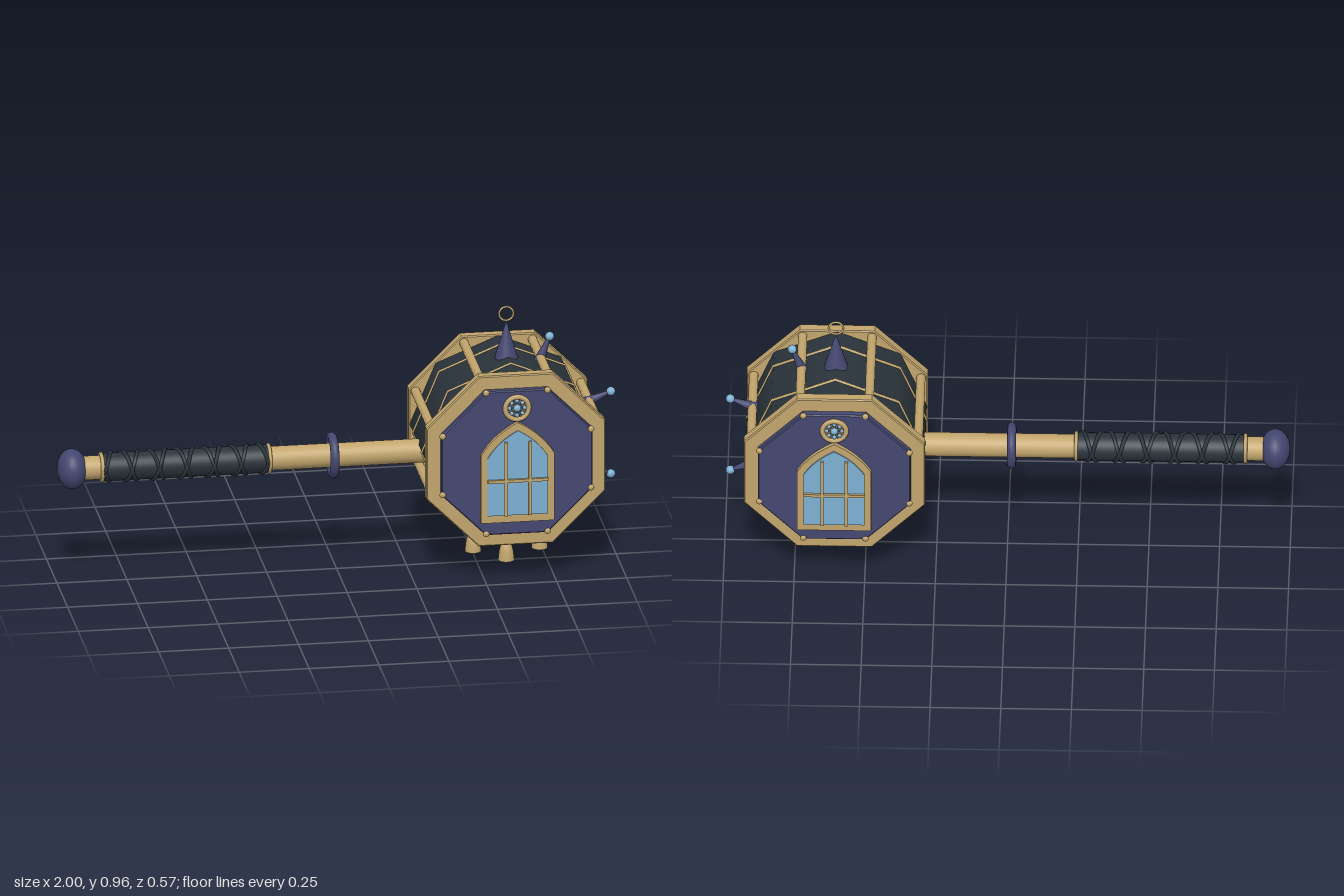
import * as THREE from 'three';

const material = (name, color) => {
  const m = new THREE.MeshStandardMaterial({ color, side: THREE.DoubleSide });
  m.name = name;
  return m;
};

export function createModel() {
  const gold = material('gold', 0xc2a56d);
  const navy = material('navy', 0x444770);
  const dark = material('charcoal', 0x2a343b);
  const blue = material('paleBlue', 0x7db0d3);

  const root = new THREE.Group();
  const add = (parent, name, geometry, mat, x = 0, y = 0, z = 0) => {
    const mesh = new THREE.Mesh(geometry, mat);
    mesh.name = name;
    mesh.position.set(x, y, z);
    parent.add(mesh);
    return mesh;
  };
  const group = (parent, name, x = 0, y = 0, z = 0) => {
    const g = new THREE.Group();
    g.name = name;
    g.position.set(x, y, z);
    parent.add(g);
    return g;
  };
  const extrude = (shape, depth, bevel = 0) => new THREE.ExtrudeGeometry(shape, {
    depth: depth - 2 * bevel, bevelEnabled: bevel > 0, bevelThickness: bevel,
    bevelSize: bevel, bevelOffset: -bevel, bevelSegments: 1, curveSegments: 8,
  }).translate(0, 0, bevel);
  const cyl = (r0, r1, h, n = 20) => new THREE.CylinderGeometry(r0, r1, h, n);
  const cornerAngle = (i) => Math.PI / 8 + i * Math.PI / 4;

  // Octagon with flat top and sides, sized by its half width
  const octagon = (half) => new THREE.Shape(Array.from({ length: 8 }, (_, i) => {
    const r = half / Math.cos(Math.PI / 8), a = cornerAngle(i);
    return new THREE.Vector2(r * Math.cos(a), r * Math.sin(a));
  }));

  // Pointed arch outline, centred on x
  const arch = (w, y0, shoulder, top, Type = THREE.Shape) => {
    const s = new Type();
    const cy = shoulder + (top - shoulder) * 0.62;
    s.moveTo(-w, y0);
    s.lineTo(w, y0);
    s.lineTo(w, shoulder);
    s.quadraticCurveTo(w * 0.66, cy, 0, top);
    s.quadraticCurveTo(-w * 0.66, cy, -w, shoulder);
    s.closePath();
    return s;
  };

  // ---- Handle, running along x ----
  const handle = group(root, 'handle', 0, 0.428, 0);
  add(handle, 'shaft', cyl(0.043, 0.043, 1.25, 28).rotateZ(Math.PI / 2), gold, -0.305);
  add(handle, 'pommel', new THREE.SphereGeometry(1, 28, 18), navy, -0.947).scale.set(0.053, 0.072, 0.072);
  add(handle, 'grip', cyl(0.05, 0.05, 0.6, 28).rotateZ(Math.PI / 2), dark, -0.5425);
  for (const x of [-0.842, -0.243]) {
    add(handle, 'gripCollar', new THREE.TorusGeometry(0.048, 0.007, 8, 28).rotateY(Math.PI / 2), gold, x);
  }
  add(handle, 'guardRing', new THREE.TorusGeometry(0.067, 0.016, 12, 36).rotateY(Math.PI / 2), navy, -0.015);

  // Two cords crossing over the grip
  const turns = 6;
  for (const dir of [1, -1]) {
    const points = Array.from({ length: turns * 12 + 1 }, (_, i) => {
      const t = i / 12 * Math.PI * 2;
      return new THREE.Vector3(-0.835 + 0.585 * i / (turns * 12), dir * 0.051 * Math.sin(t), 0.051 * Math.cos(t));
    });
    add(handle, 'gripCord', new THREE.TubeGeometry(new THREE.CatmullRomCurve3(points), 240, 0.007, 6), dark);
  }

  // ---- Head ----
  const head = group(root, 'head', 0.607, 0.459, 0);
  add(head, 'drum', cyl(0.317, 0.317, 0.42, 8).rotateX(Math.PI / 2), dark);
  for (const z of [-0.103, 0.103]) {
    add(head, 'drumBand', new THREE.TorusGeometry(0.315, 0.0075, 8, 8), gold, 0, 0, z);
  }
  for (let i = 0; i < 8; i++) {
    const a = cornerAngle(i);
    add(head, 'rail', cyl(0.0165, 0.0165, 0.4, 14).rotateX(Math.PI / 2), gold,
      0.32 * Math.cos(a), 0.32 * Math.sin(a), 0);
  }

  // Spikes with ball tips on the striking side
  for (const i of [-2, -1, 0, 1]) {
    const a = cornerAngle(i);
    const spike = group(head, 'spike');
    spike.rotation.z = a - Math.PI / 2;
    add(spike, 'spikeCone', cyl(0.006, 0.02, 0.09, 14), navy, 0, 0.352, 0);
    add(spike, 'spikeBall', new THREE.SphereGeometry(0.016, 16, 12), blue, 0, 0.405, 0);
  }

  // Finial with a hanging ring
  add(head, 'finial', new THREE.ConeGeometry(0.042, 0.14, 20), navy, 0, 0.373, 0);
  add(head, 'finialRing', new THREE.TorusGeometry(0.0255, 0.004, 8, 28), gold, 0, 0.468, 0);

  // Bells hanging below
  const bellProfile = [[0.029, 0], [0.026, 0.03], [0.021, 0.052], [0.012, 0.066], [0, 0.071]]
    .map(([r, y]) => new THREE.Vector2(r, y));
  for (const [x, y] of [[-0.119, 0.04], [0, 0], [0.119, 0.04]]) {
    const bell = group(root, 'bell', 0.607 + x, y, 0);
    add(bell, 'bellBody', new THREE.LatheGeometry(bellProfile, 20), gold);
    add(bell, 'bellCord', cyl(0.0035, 0.0035, 0.1, 8), gold, 0, 0.112, 0);
  }

  // ---- Decorated faces, front and back ----
  for (const turn of [0, Math.PI]) {
    const face = group(head, turn ? 'backFace' : 'frontFace');
    face.rotation.y = turn;
    add(face, 'rim', extrude(octagon(0.32), 0.04, 0.004), gold, 0, 0, 0.189);
    add(face, 'facePlate', extrude(octagon(0.27), 0.05, 0.004), navy, 0, 0, 0.204);

    // Corner studs
    for (let i = 0; i < 8; i++) {
      const a = cornerAngle(i);
      add(face, 'stud', new THREE.SphereGeometry(0.012, 12, 8), gold,
        0.287 * Math.cos(a), 0.287 * Math.sin(a), 0.251).scale.z = 0.7;
    }

    // Arched window
    const frame = arch(0.131, -0.219, 0.035, 0.155);
    frame.holes.push(arch(0.108, -0.191, 0.025, 0.126, THREE.Path));
    add(face, 'windowFrame', extrude(frame, 0.02), gold, 0, 0, 0.25);
    add(face, 'windowGlass', extrude(arch(0.108, -0.191, 0.025, 0.126), 0.025), blue, 0, 0, 0.25);
    for (const x of [-0.043, 0.043]) {
      add(face, 'windowMullion', new THREE.BoxGeometry(0.011, 0.277, 0.012), gold, x, -0.0525, 0.278);
    }
    add(face, 'windowCrossbar', new THREE.BoxGeometry(0.216, 0.011, 0.012), gold, 0, -0.06, 0.278);

    // Rosette
    const rosette = group(face, 'rosette', 0, 0.205, 0.257);
    add(rosette, 'rosetteRing', new THREE.TorusGeometry(0.042, 0.009, 10, 32), gold);
    add(rosette, 'rosetteCentre', new THREE.SphereGeometry(0.014, 16, 10), blue);
    for (let i = 0; i < 8; i++) {
      const a = i * Math.PI / 4, b = cornerAngle(i);
      add(rosette, 'rosetteBead', new THREE.SphereGeometry(0.0075, 10, 8), blue,
        0.027 * Math.cos(a), 0.027 * Math.sin(a), 0);
      add(rosette, 'rosetteSpoke', new THREE.BoxGeometry(0.03, 0.004, 0.006), gold,
        0.026 * Math.cos(b), 0.026 * Math.sin(b), 0).rotation.z = b;
    }
  }
  return root;
}
